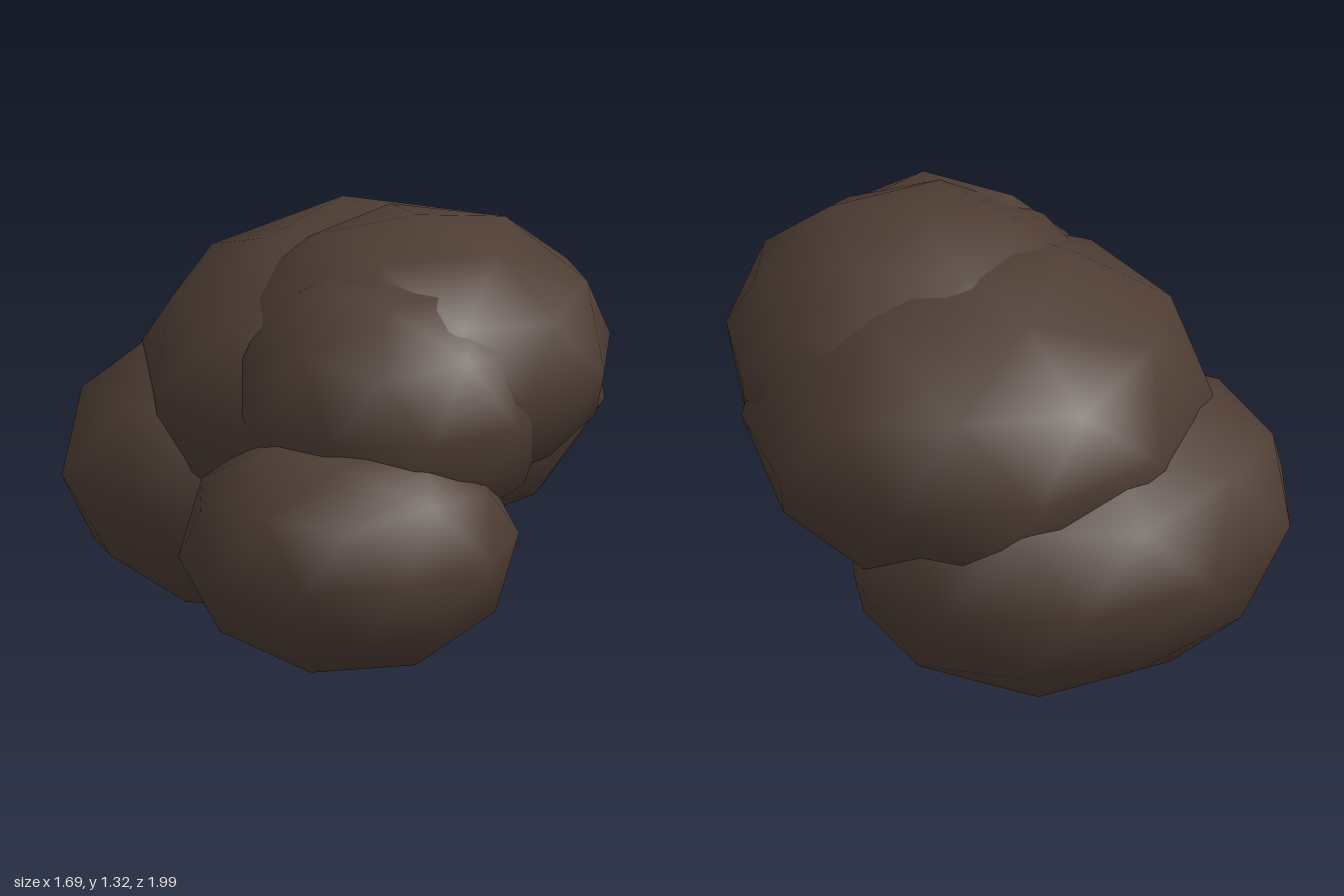
import * as THREE from 'three';
import { mergeVertices } from 'three/addons/utils/BufferGeometryUtils.js';

const darkBrown = new THREE.MeshStandardMaterial({ color: 0x4e3d34 });
darkBrown.name = 'darkBrown';

// Smooth low-poly lump: an icosphere with a corner straight up, turned
// slightly, stretched to the given half sizes and swung round by yaw
function lump(name, centre, half, turn, yaw = 0) {
  let geo = new THREE.IcosahedronGeometry(1, 1);
  geo.deleteAttribute('normal');
  geo.deleteAttribute('uv');
  geo = mergeVertices(geo, 1e-4);
  geo.rotateZ(-0.5536);
  geo.applyMatrix4(new THREE.Matrix4().makeRotationFromEuler(new THREE.Euler(...turn)));
  geo.center();
  const reach = geo.boundingBox.max;
  geo.scale(half[0] / reach.x, half[1] / reach.y, half[2] / reach.z);
  geo.rotateY(yaw);
  geo.computeVertexNormals();
  const mesh = new THREE.Mesh(geo, darkBrown);
  mesh.position.set(...centre);
  mesh.name = name;
  return mesh;
}

export function createModel() {
  const group = new THREE.Group();
  group.name = 'lumpyClump';
  group.add(
    // large lump resting on the ground, longest along a diagonal
    lump('baseLump', [-0.21, 0.47, -0.35], [0.71, 0.47, 0.58], [0, 0.1, 0], Math.PI / 4),
    // broad lump behind and above it
    lump('rearLump', [0.07, 0.78, -0.22], [0.69, 0.48, 0.74], [0, -0.26, -0.1]),
    // highest lump, towards the left side
    lump('topLump', [0.25, 0.9, -0.05], [0.58, 0.42, 0.6], [0, -0.4, 0]),
    // lump bulging forward in the middle
    lump('middleLump', [0.235, 0.83, 0.19], [0.475, 0.42, 0.51], [0, -0.1, 0]),
    // small low lump at the front
    lump('frontLump', [0.185, 0.465, 0.49], [0.475, 0.37, 0.51], [0, 0, 0.08])
  );
  return group;
}
